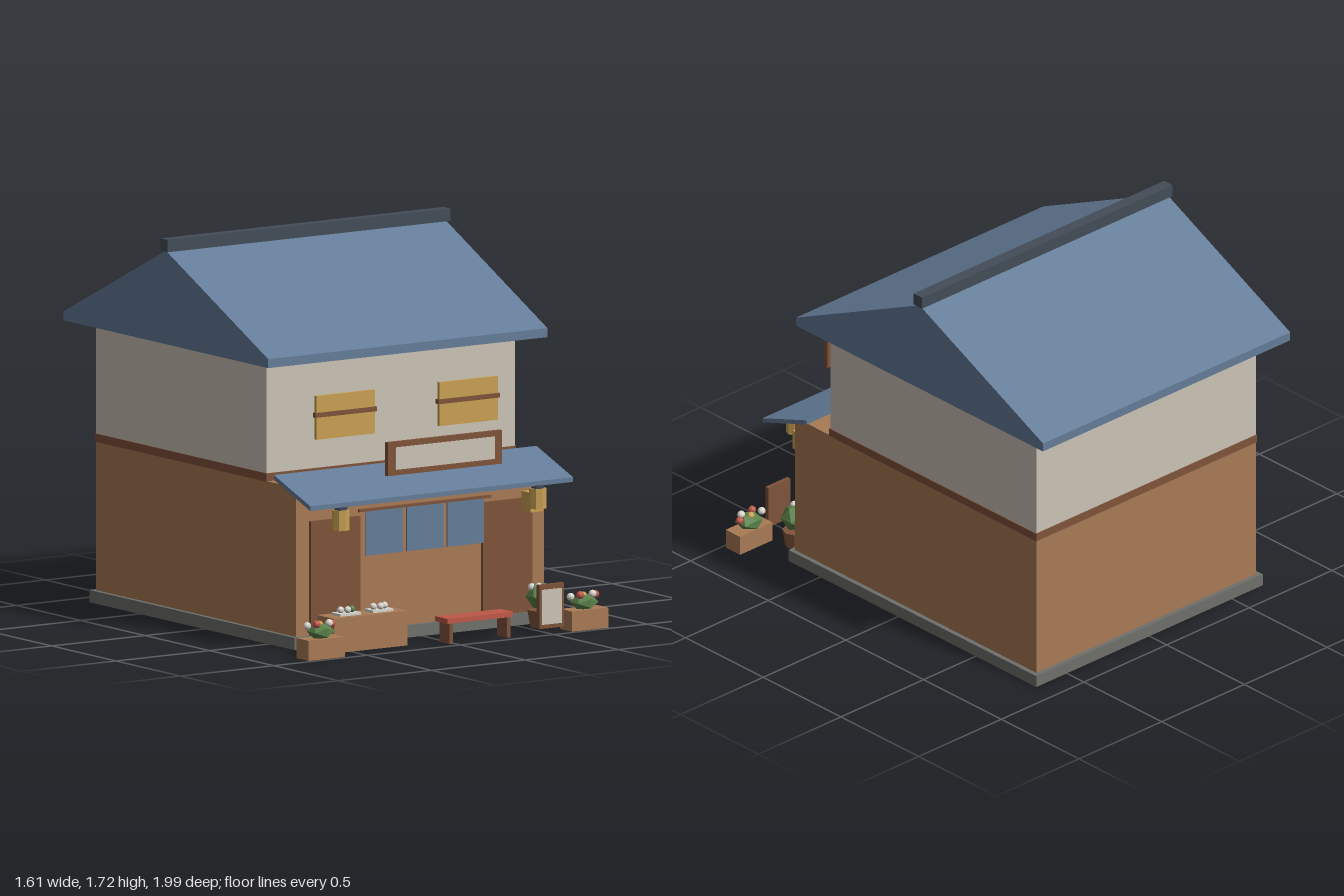
import * as THREE from 'three';

const mat = (name, color) => {
  const m = new THREE.MeshStandardMaterial({ color, flatShading: true });
  m.name = name;
  return m;
};

export function createModel() {
  const wood = mat('wood', 0xa87a54);
  const darkWood = mat('dark wood', 0x7f533a);
  const plaster = mat('plaster', 0xcac3b6);
  const tile = mat('blue tile', 0x647c98);
  const ridgeDark = mat('dark tile', 0x434c58);
  const stone = mat('stone', 0x6e706a);
  const gold = mat('gold paper', 0xc9a053);
  const red = mat('red', 0xbe5848);
  const leaf = mat('leaf', 0x5a8249);
  const white = mat('white', 0xd8d5cd);

  const root = new THREE.Group();
  root.name = 'shopHouse';

  const add = (parent, name, geo, material, x = 0, y = 0, z = 0) => {
    const m = new THREE.Mesh(geo, material);
    m.name = name;
    m.position.set(x, y, z);
    parent.add(m);
    return m;
  };
  // Box given by its minimum and maximum on each axis
  const box = (parent, name, material, [x0, x1], [y0, y1], [z0, z1]) =>
    add(parent, name, new THREE.BoxGeometry(x1 - x0, y1 - y0, z1 - z0), material,
      (x0 + x1) / 2, (y0 + y1) / 2, (z0 + z1) / 2);
  // Side profile in (z, y), extruded across x
  const sideExtrude = (name, material, points, width) => {
    const shape = new THREE.Shape(points.map(([z, y]) => new THREE.Vector2(z, y)));
    const g = new THREE.ExtrudeGeometry(shape, { depth: width, bevelEnabled: false });
    g.translate(0, 0, -width / 2).rotateY(-Math.PI / 2);
    return add(root, name, g, material);
  };
  const group = (name, x = 0, y = 0, z = 0) => {
    const g = new THREE.Group();
    g.name = name;
    g.position.set(x, y, z);
    root.add(g);
    return g;
  };

  // Walls
  box(root, 'foundation', stone, [-0.685, 0.685], [0, 0.055], [-0.89, 0.705]);
  box(root, 'lowerWalls', wood, [-0.664, 0.664], [0.055, 0.72], [-0.868, 0.684]);
  box(root, 'trimBand', darkWood, [-0.668, 0.668], [0.718, 0.755], [-0.872, 0.462]);
  box(root, 'upperWalls', plaster, [-0.664, 0.664], [0.755, 1.252], [-0.868, 0.457]);

  // Roofs
  sideExtrude('mainRoof', tile,
    [[-1, 1.25], [0.59, 1.25], [0.59, 1.29], [-0.205, 1.668], [-1, 1.29]], 1.495);
  box(root, 'roofRidge', ridgeDark, [-0.757, 0.757], [1.665, 1.72], [-0.232, -0.178]);
  sideExtrude('awning', tile,
    [[0.569, 0.745], [0.853, 0.643], [0.853, 0.664], [0.569, 0.766]], 1.406);

  // Upper windows and doors, mirrored
  for (const s of [-1, 1]) {
    const span = (a, b) => (s > 0 ? [a, b] : [-b, -a]);
    box(root, 'upperWindow', gold, span(0.173, 0.486), [0.905, 1.1], [0.57, 0.585]);
    box(root, 'windowBar', darkWood, span(0.165, 0.493), [1.004, 1.025], [0.567, 0.59]);
    box(root, 'door', darkWood, span(0.328, 0.593), [0.055, 0.565], [0.68, 0.698]);

    const lantern = group('lantern', s * 0.527, 0, 0.833);
    add(lantern, 'lanternBody', new THREE.CylinderGeometry(0.039, 0.039, 0.09, 8), gold, 0, 0.585, 0);
    add(lantern, 'lanternCap', new THREE.CylinderGeometry(0.03, 0.03, 0.015, 8), ridgeDark, 0, 0.637, 0);
  }

  // Shop sign above the awning
  box(root, 'signBoard', darkWood, [-0.306, 0.306], [0.765, 0.915], [0.858, 0.878]);
  box(root, 'signPanel', plaster, [-0.265, 0.265], [0.79, 0.89], [0.876, 0.881]);

  // Entrance curtain
  box(root, 'curtainRod', darkWood, [-0.353, 0.353], [0.588, 0.6], [0.714, 0.726]);
  for (let i = -1; i <= 1; i++) {
    const x = i * 0.217;
    box(root, 'curtainPanel', tile, [x - 0.098, x + 0.098], [0.39, 0.588], [0.717, 0.724]);
  }

  // Small lit side sign
  box(root, 'sideSign', gold, [0.535, 0.602], [0.51, 0.598], [0.697, 0.767]);

  // Flowers and produce
  const ball = (parent, material, x, y, z, r = 0.018) =>
    add(parent, 'blossom', new THREE.IcosahedronGeometry(r, 1), material, x, y, z);

  // Counter with two trays
  const counter = group('counter');
  box(counter, 'counterBox', wood, [-0.595, -0.2], [0, 0.155], [0.75, 0.878]);
  [[-0.485, [white, white, leaf]], [-0.31, [white, white, white]]].forEach(([x, colors]) => {
    box(counter, 'tray', white, [x - 0.055, x + 0.055], [0.155, 0.166], [0.78, 0.85]);
    colors.forEach((c, i) => ball(counter, c, x + (i - 1) * 0.03, 0.179, 0.815 + (i % 2) * 0.012, 0.016));
  });

  // Bench
  const bench = group('bench');
  box(bench, 'benchSeat', red, [-0.046, 0.305], [0.093, 0.115], [0.868, 0.966]);
  for (const x of [-0.02, 0.288])
    box(bench, 'benchLeg', darkWood, [x - 0.01, x + 0.01], [0, 0.093], [0.878, 0.956]);

  // Standing menu board
  box(root, 'menuBoard', darkWood, [0.438, 0.57], [0.026, 0.222], [0.955, 0.975]);
  box(root, 'menuPanel', plaster, [0.45, 0.557], [0.044, 0.2], [0.973, 0.978]);

  // Flower planters at both corners
  for (const s of [-1, 1]) {
    const planter = group('planter', s * 0.705, 0, 0.937);
    box(planter, 'planterBox', wood, [-0.098, 0.098], [0, 0.09], [-0.046, 0.046]);
    const bush = add(planter, 'planterBush', new THREE.IcosahedronGeometry(0.063, 0), leaf, 0, 0.118, 0);
    bush.scale.y = 0.62;
    [white, red, gold, white, red].forEach((c, i) =>
      ball(planter, c, (i - 2) * 0.033, 0.146 + (i % 2) * 0.008, (i % 2 ? 0.016 : -0.01)));
  }

  // Potted shrub by the door
  const pot = group('pottedShrub', 0.565, 0, 0.793);
  add(pot, 'pot', new THREE.CylinderGeometry(0.055, 0.042, 0.078, 8), darkWood, 0, 0.039, 0);
  add(pot, 'shrub', new THREE.IcosahedronGeometry(0.063, 0), leaf, 0, 0.14, 0);
  ball(pot, white, -0.02, 0.185, 0.025);
  ball(pot, white, -0.035, 0.18, -0.01);

  return root;
}
